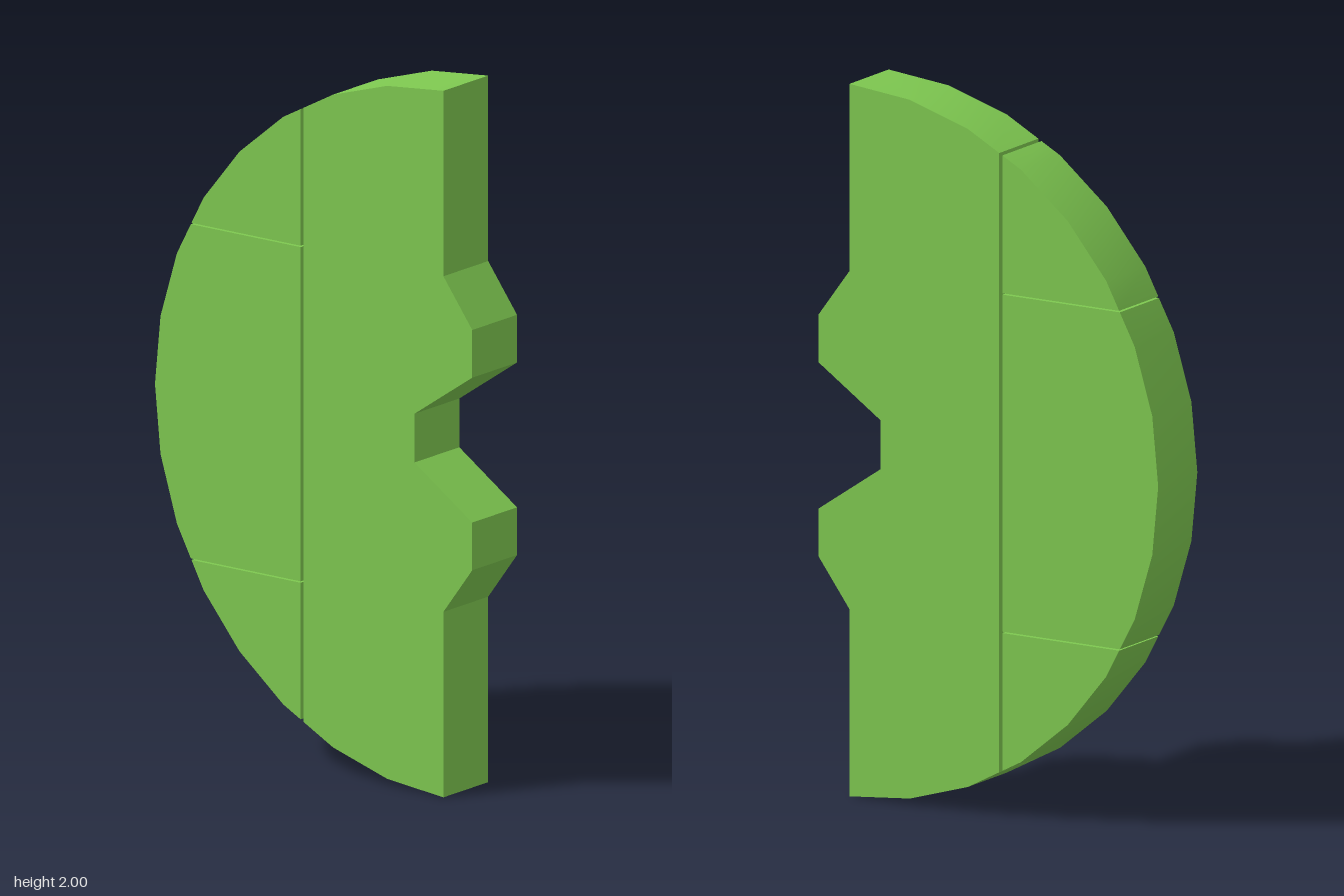
import * as THREE from 'three';
import { toCreasedNormals } from 'three/addons/utils/BufferGeometryUtils.js';

const DEPTH = 0.198;
const CENTRE_X = 0.45;
const material = new THREE.MeshStandardMaterial({ color: 0x7ec850 });

// Keep the part of a polygon where sign * (point[axis] - limit) >= 0
function clip(points, axis, limit, sign) {
  const out = [];
  points.forEach((a, i) => {
    const b = points[(i + 1) % points.length];
    const da = sign * (a[axis] - limit);
    const db = sign * (b[axis] - limit);
    if (da >= 0) out.push(a);
    if (da * db < 0) out.push(a.clone().lerp(b, da / (da - db)));
  });
  return out;
}

// Slab with a smooth rim and sharp corners
function slab(name, points) {
  const geometry = new THREE.ExtrudeGeometry(new THREE.Shape(points), { depth: DEPTH, bevelEnabled: false });
  geometry.translate(0, 0, -DEPTH / 2);
  const mesh = new THREE.Mesh(toCreasedNormals(geometry, 0.4), material);
  mesh.name = name;
  return mesh;
}

export function createModel() {
  const group = new THREE.Group();
  group.name = 'notchedHalfDisc';

  // Half-disc outline, counter-clockwise: rim from top to bottom, then the toothed edge upwards
  const outline = [];
  for (let i = 0; i <= 16; i++) {
    const a = Math.PI / 2 + (i * Math.PI) / 16;
    outline.push(new THREE.Vector2(CENTRE_X + Math.cos(a) - 0.003, 1 + Math.sin(a)));
  }
  const upperTooth = [[0.347, 0.069], [0.547, 0.205], [0.547, 0.34], [0.447, 0.475]];
  for (const [x, y] of [...upperTooth].reverse()) outline.push(new THREE.Vector2(x, 1 - y));
  for (const [x, y] of upperTooth) outline.push(new THREE.Vector2(x, 1 + y));

  // Toothed front section
  group.add(slab('toothedSection', clip(outline, 'x', -0.038, 1)));

  // Rim section, cut into three pieces with narrow gaps
  const rim = clip(outline, 'x', -0.048, -1);
  const cut = 0.475;
  const gap = 0.002;
  group.add(slab('upperRimPiece', clip(rim, 'y', 1 + cut + gap, 1)));
  group.add(slab('middleRimPiece', clip(clip(rim, 'y', 1 + cut - gap, -1), 'y', 1 - cut + gap, 1)));
  group.add(slab('lowerRimPiece', clip(rim, 'y', 1 - cut - gap, -1)));

  return group;
}
